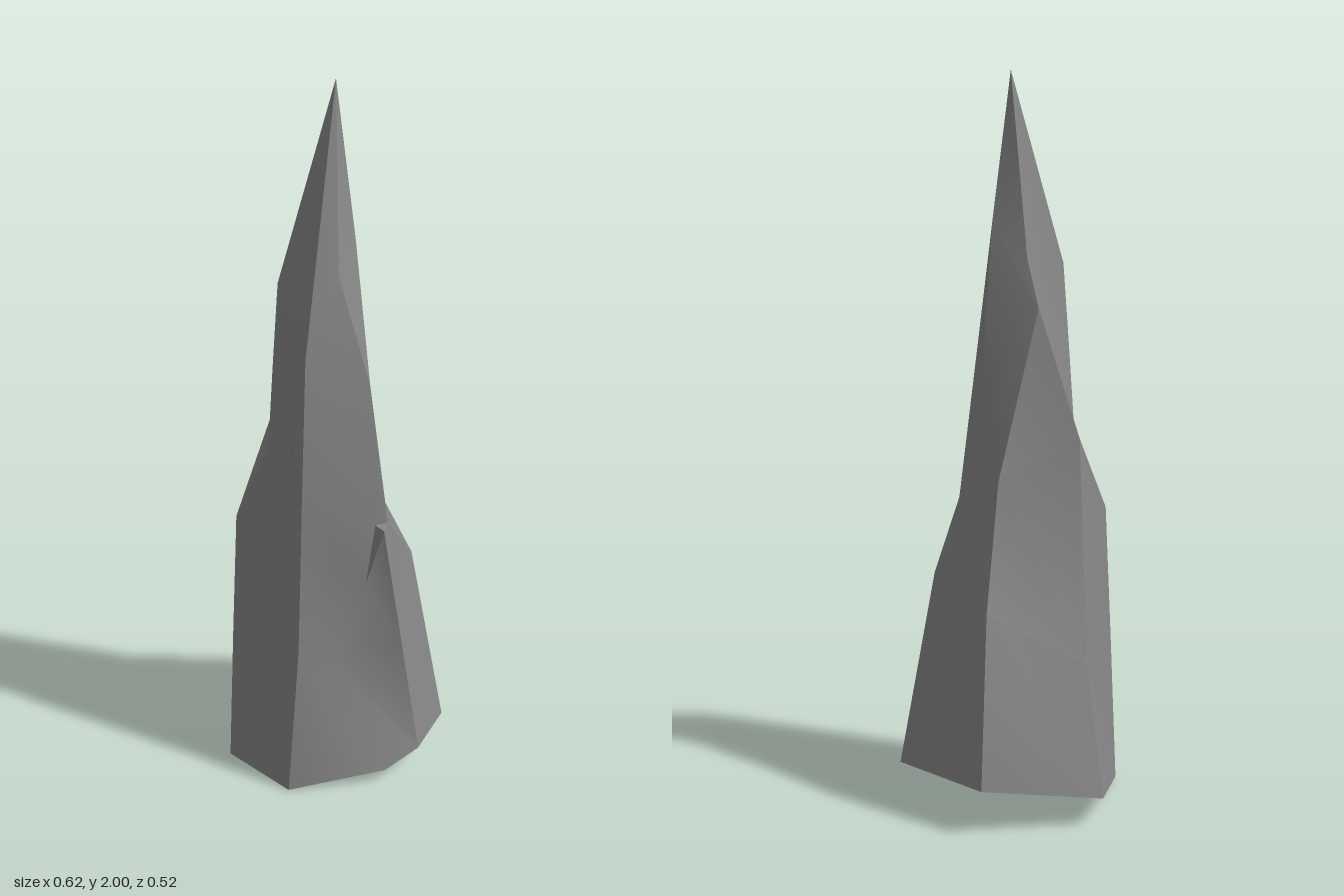
import * as THREE from 'three';
import { toCreasedNormals } from 'three/addons/utils/BufferGeometryUtils.js';

// Corner edges of the spike, counterclockwise from above; each climbs from the base to below the tip.
// Repeated points let neighbouring facets merge.
const tip = [0, 2, 0.06];
const edges = {
  outerSide: [[-0.31, 0.01, 0.045], [-0.29, 0.43, 0.043], [-0.27, 0.81, 0.04], [-0.18, 1.02, 0.05], [-0.167, 1.25, 0.06], [-0.152, 1.49, 0.07]],
  frontCorner: [[-0.175, 0, 0.23], [-0.14, 0.46, 0.22], [-0.13, 0.75, 0.213], [-0.124, 0.95, 0.21], [-0.11, 1.33, 0.2], [-0.11, 1.33, 0.2]],
  frontNotch: [[0.1, 0.045, 0.26], [-0.04, 0.41, 0.213], [0.05, 0.65, 0.208], [0.075, 0.83, 0.205], [0.06, 1.24, 0.19], [-0.015, 1.53, 0.16]],
  frontSlab: [[0.21, 0.07, 0.215], [0.15, 0.45, 0.228], [0.09, 0.83, 0.24], [0.11, 0.83, 0.2], [0.06, 1.24, 0.19], [0.045, 1.6, 0.085]],
  slabSide: [[0.21, 0.07, 0.215], [0.15, 0.45, 0.228], [0.11, 0.83, 0.2], [0.11, 0.83, 0.2], [0.06, 1.24, 0.19], [0.045, 1.6, 0.085]],
  innerSide: [[0.31, 0.1, 0.11], [0.215, 0.65, 0.075], [0.145, 0.8, 0.045], [0.145, 0.8, 0.045], [0.085, 1.15, 0.055], [0.045, 1.6, 0.085]],
  backCorner: [[0.17, 0.125, -0.23], [0.13, 0.58, -0.145], [0.07, 0.92, -0.055], [0.07, 0.92, -0.055], [-0.045, 1.38, -0.045], [-0.03, 1.51, 0.01]],
  backRidge: [[-0.16, 0.08, -0.262], [-0.14, 0.43, -0.18], [-0.15, 1.03, -0.08], [-0.15, 1.03, -0.08], [-0.08, 1.2, -0.06], [-0.03, 1.51, 0.01]],
};

function spikeGeometry() {
  const columns = Object.values(edges).map((c) => [...c, tip]);
  const positions = [];
  // Adds one facet, leaving out those collapsed by repeated points
  const facet = (...points) => {
    const [a, b, c] = points.map((p) => new THREE.Vector3(...p));
    if (new THREE.Triangle(a, b, c).getArea() > 1e-6) positions.push(...points.flat());
  };
  columns.forEach((left, i) => {
    const right = columns[(i + 1) % columns.length];
    for (let r = 0; r < left.length - 1; r++) {
      facet(left[r], right[r], left[r + 1]);
      facet(right[r], right[r + 1], left[r + 1]);
    }
  });
  const geometry = new THREE.BufferGeometry();
  geometry.setAttribute('position', new THREE.Float32BufferAttribute(positions, 3));
  // Soft shading across gentle bends, sharp corners elsewhere
  return toCreasedNormals(geometry, 0.5);
}

export function createModel() {
  const group = new THREE.Group();
  group.name = 'rockSpike';
  // Dark grey stone shell, open at its slanted base
  const material = new THREE.MeshStandardMaterial({ color: 0x888888, side: THREE.DoubleSide });
  const rock = new THREE.Mesh(spikeGeometry(), material);
  rock.name = 'rock';
  group.add(rock);
  return group;
}
